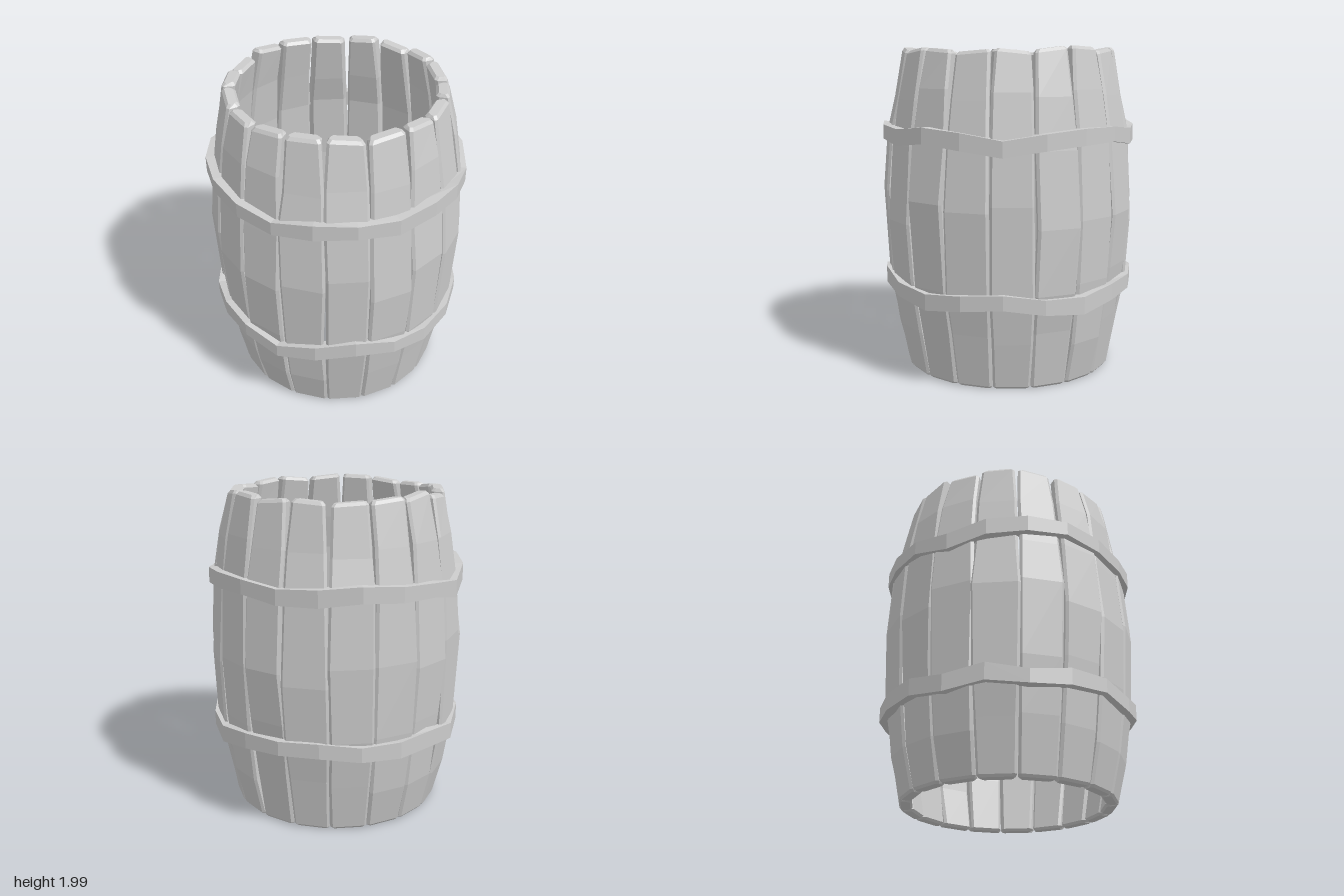
import * as THREE from 'three';

const material = new THREE.MeshStandardMaterial({ color: 0xcccccc, flatShading: true });
const rad = THREE.MathUtils.degToRad;

// small seeded jitter in the range -amount .. amount
let seed = 11;
const jitter = (amount) => {
  seed = (seed * 16807) % 2147483647;
  return (seed / 2147483647 * 2 - 1) * amount;
};

// skins a list of equal-sized rings of points; closed joins last to first, otherwise ends are capped
function loft(rings, closed, name) {
  const n = rings[0].length, index = [];
  const spans = closed ? rings.length : rings.length - 1;
  for (let j = 0; j < spans; j++) {
    const a = j * n, b = ((j + 1) % rings.length) * n;
    for (let i = 0; i < n; i++) {
      const k = (i + 1) % n;
      index.push(a + i, a + k, b + k, a + i, b + k, b + i);
    }
  }
  if (!closed) {
    const top = (rings.length - 1) * n;
    for (let i = 1; i < n - 1; i++) {
      index.push(0, i + 1, i, top, top + i, top + i + 1);
    }
  }
  const geometry = new THREE.BufferGeometry();
  geometry.setAttribute('position', new THREE.Float32BufferAttribute(rings.flat(2), 3));
  geometry.setIndex(index);
  const flat = geometry.toNonIndexed();
  flat.computeVertexNormals();
  const mesh = new THREE.Mesh(flat, material);
  mesh.name = name;
  return mesh;
}

// one bent plank with bevelled edges, its top end tilted across its width
function stave(angle, height, tilt) {
  const a = rad(angle), s = Math.sin(a), c = Math.cos(a);
  const ring = (y, outer, left, right, inset, slope) => {
    const inner = outer - 0.078 + inset, o = outer - inset, b = 0.014;
    const shrink = (outer - 0.078) / outer;
    const l = left + inset, r = right - inset, li = l * shrink, ri = r * shrink;
    return [
      [l, o - b], [l + b, o], [r - b, o], [r, o - b],
      [ri, inner + b], [ri - b, inner], [li + b, inner], [li, inner + b],
    ].map(([t, d]) => [t * c + d * s, y + slope * t / 0.1, d * c - t * s]);
  };
  // height, outer radius, narrowing, jitter
  const rows = [
    [0.014, 0.642, 0.004, 0], [0.3 + jitter(0.06), 0.698, 0.003, 0.004],
    [0.62 + jitter(0.08), 0.746, 0.003, 0.008], [1.03 + jitter(0.1), 0.768, 0.002, 0.012],
    [1.42 + jitter(0.07), 0.742, 0.003, 0.008], [1.7 + jitter(0.05), 0.698, 0.008, 0.008],
    [height - 0.018, 0.65, 0.015, 0.008],
  ].map(([y, r, gap, j]) => {
    const w = r * Math.tan(rad(10)) - gap;
    return [y, r + jitter(j * 0.6), -w + jitter(j), w + jitter(j)];
  });
  const first = rows[0], last = rows[rows.length - 1];
  const rings = rows.map((row, i) => ring(...row, 0, i === rows.length - 1 ? tilt : 0));
  rings.unshift(ring(0, ...first.slice(1), 0.012, 0));
  rings.push(ring(height, ...last.slice(1), 0.014, tilt));
  return loft(rings, false, 'stave');
}

// wavy band around the staves; levels are the middle heights, counted round from the front
function hoop(levels, name) {
  const rings = levels.map((y, i) => {
    const a = rad(i * 360 / levels.length);
    const r = 0.783 + jitter(0.005), h = 0.047 + jitter(0.006), lean = jitter(0.006);
    return [[0.725, y - h], [0.725, y + h], [r, y + h + lean], [r, y - h + lean]]
      .map(([d, v]) => [d * Math.sin(a), v, d * Math.cos(a)]);
  });
  return loft(rings, true, name);
}

export function createModel() {
  const barrel = new THREE.Group();
  barrel.name = 'barrel';

  // top height and tilt of each stave, counted round from the front
  const tops = [
    [1.955, 0.01], [1.97, 0.003], [1.965, -0.01], [1.96, 0.01], [1.96, -0.008], [1.95, 0.008],
    [1.955, -0.01], [1.965, 0.012], [1.975, -0.005], [1.96, 0.01], [1.965, -0.008], [1.955, 0.006],
    [1.965, 0.008], [1.975, 0.016], [1.95, -0.006], [1.97, 0.004], [1.96, -0.012], [1.95, -0.003],
  ];
  const staves = new THREE.Group();
  staves.name = 'staves';
  tops.forEach(([height, tilt], i) => staves.add(stave(10 + i * 20, height, tilt)));
  barrel.add(staves);

  // hoops
  barrel.add(hoop([
    1.465, 1.435, 1.465, 1.475, 1.455, 1.48, 1.45, 1.42, 1.455, 1.475,
    1.475, 1.45, 1.46, 1.48, 1.46, 1.455, 1.41, 1.46, 1.48, 1.49,
  ], 'upperHoop'));
  barrel.add(hoop([
    0.55, 0.51, 0.55, 0.585, 0.55, 0.515, 0.54, 0.555, 0.52, 0.515,
    0.54, 0.56, 0.56, 0.54, 0.53, 0.55, 0.51, 0.55, 0.515, 0.545,
  ], 'lowerHoop'));
  return barrel;
}
